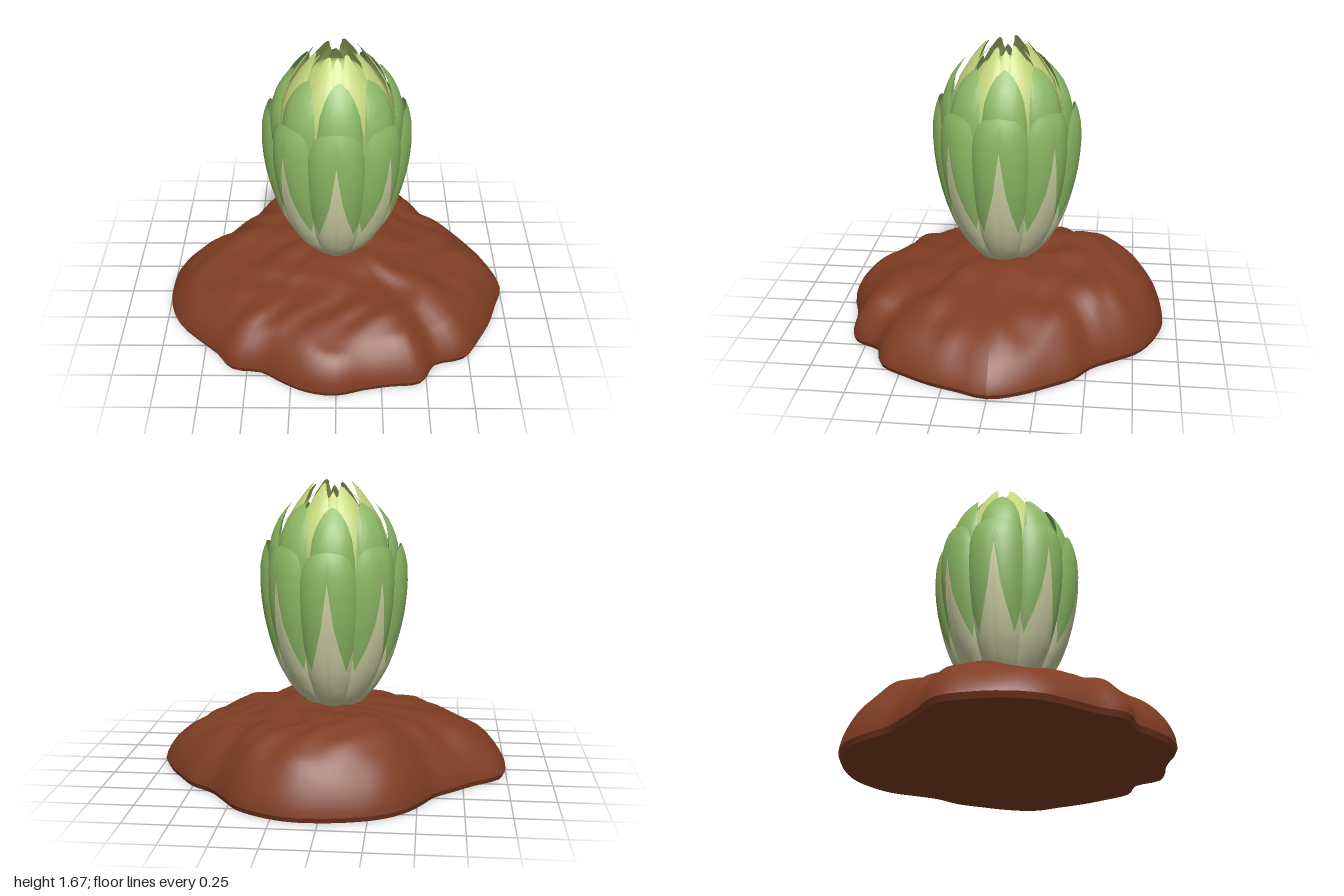
import * as THREE from 'three';

const mat = (name, color, side = THREE.FrontSide) => {
  const m = new THREE.MeshStandardMaterial({ color, side });
  m.name = name;
  return m;
};

// Piecewise linear lookup through [key, value] pairs
function lookup(pts, k) {
  if (k <= pts[0][0]) return pts[0][1];
  for (let i = 1; i < pts.length; i++) {
    const [a, va] = pts[i - 1], [b, vb] = pts[i];
    if (k <= b) return va + (vb - va) * (k - a) / (b - a);
  }
  return pts[pts.length - 1][1];
}

// Smooth lookup in a closed ring of evenly spaced values
function ring(values, angle) {
  const n = values.length;
  const t = ((angle / (Math.PI * 2)) % 1 + 1) % 1 * n;
  const i = Math.floor(t), f = t - i;
  const [a, b, c, d] = [-1, 0, 1, 2].map(o => values[(i + o + n) % n]);
  return b + 0.5 * f * (c - a + f * (2 * a - 5 * b + 4 * c - d + f * (3 * (b - c) + d - a)));
}

// Grid surface from a rule (s, t in 0..1) => [x, y, z]
function surface(rule, ns, nt) {
  const pos = [], idx = [];
  for (let j = 0; j <= nt; j++)
    for (let i = 0; i <= ns; i++) pos.push(...rule(i / ns, j / nt));
  for (let j = 0; j < nt; j++)
    for (let i = 0; i < ns; i++) {
      const a = j * (ns + 1) + i, b = a + ns + 1;
      idx.push(a, a + 1, b + 1, a, b + 1, b);
    }
  const g = new THREE.BufferGeometry();
  g.setAttribute('position', new THREE.Float32BufferAttribute(pos, 3));
  g.setIndex(idx);
  g.computeVertexNormals();
  return g;
}

// Cupped leaf strip between two edges, both given as heights over |u|
function leafPart(name, material, spec, low, high, lift) {
  const geo = surface((s, t) => {
    const u = s * 2 - 1, k = Math.abs(u);
    const y0 = low(k), y = y0 + (high(k) + lift - y0) * t;
    const r = lookup(spec.profile, y - lift * t) * (1 - spec.cup * k ** 2.5) + spec.inset;
    const a = u * spec.half;
    return [r * Math.sin(a), y, r * Math.cos(a)];
  }, 20, 14);
  const mesh = new THREE.Mesh(geo, material);
  mesh.name = name;
  return mesh;
}

// Radius over height for each ring of leaves, and tip height over |u|
const OUTER = {
  profile: [[0.34, 0.12], [0.4, 0.165], [0.45, 0.215], [0.5, 0.255], [0.6, 0.312], [0.7, 0.35], [0.8, 0.378],
    [0.9, 0.4], [1.0, 0.414], [1.1, 0.42], [1.2, 0.416], [1.27, 0.402], [1.34, 0.375]],
  tip: [[0, 1.325], [0.2, 1.32], [0.5, 1.31], [0.7, 1.285], [0.85, 1.23], [1, 1.1]],
  split: [[0, 1.15], [0.1, 1.02], [0.2, 0.9], [0.4, 0.77], [0.7, 0.64], [1, 0.8]],
  half: 0.44, cup: 0.11,
};
const MIDDLE = {
  profile: [[0.9, 0.31], [1.1, 0.36], [1.2, 0.37], [1.3, 0.365], [1.38, 0.345], [1.45, 0.312], [1.5, 0.275], [1.56, 0.22]],
  tip: [[0, 1.55], [0.2, 1.54], [0.5, 1.515], [0.75, 1.46], [0.9, 1.39], [1, 1.27]],
  half: 0.375, cup: 0.08,
};
const INNER = {
  profile: [[1, 0.29], [1.2, 0.325], [1.35, 0.31], [1.45, 0.27], [1.55, 0.205], [1.62, 0.15], [1.67, 0.105]],
  tip: [[0, 1.655], [0.3, 1.645], [0.5, 1.61], [0.7, 1.58], [0.85, 1.5], [1, 1.35]],
  half: 0.36, cup: 0.05,
};
const HEART = {
  profile: [[1, 0.25], [1.3, 0.27], [1.45, 0.225], [1.55, 0.15], [1.63, 0.08]],
  tip: [[0, 1.625], [0.3, 1.605], [0.6, 1.56], [1, 1.42]],
  half: 0.4, cup: 0.04,
};

// Soil outline radius every 10 degrees from +x towards +z
const OUTLINE = [1, 0.965, 0.955, 0.95, 0.955, 0.875, 0.945, 0.9, 0.89, 0.92, 0.91, 0.875,
  0.85, 0.92, 0.9, 0.93, 0.98, 1, 1, 0.985, 0.87, 0.81, 0.78, 0.82,
  0.87, 0.9, 0.91, 0.92, 0.93, 0.92, 0.9, 0.85, 0.83, 0.88, 0.91, 0.96];
// Soil height beside the plant, shoulder height and roundness every 45 degrees
const CREST = [0.42, 0.4, 0.385, 0.39, 0.4, 0.41, 0.41, 0.42];
const SHOULDER = [0.325, 0.32, 0.32, 0.31, 0.33, 0.4, 0.425, 0.37];
const ROUNDNESS = [0.75, 0.65, 0.52, 0.6, 0.8, 0.72, 0.65, 0.7];

function soilPoint(angle, t) {
  const edge = ring(OUTLINE, angle), crest = ring(CREST, angle), shoulder = ring(SHOULDER, angle);
  // finer rows at the steep rim
  const q = 1 - (1 - t) ** 1.5;
  const r = q * edge, x = r * Math.cos(angle), z = r * Math.sin(angle);
  const f = THREE.MathUtils.smoothstep(q, 0.2, 0.6);
  const plateau = crest + (shoulder - crest) * f;
  const fall = Math.max(0, (q - 0.5) / 0.5) ** 2.4;
  const h = 0.03 + (plateau - 0.03) * Math.max(0, 1 - fall) ** ring(ROUNDNESS, angle);
  // soft lumps that fade at the centre and rim
  const fade = Math.min(1, q * 2) * Math.min(1, (1 - q) * 7);
  const lumps = Math.sin(x * 9 + 1.3 * Math.sin(z * 7)) * Math.cos(z * 8 + 0.8) * 0.013
    + Math.sin(x * 17 + 2 * Math.sin(z * 11)) * Math.sin(z * 15 + x * 6) * 0.011
    + Math.sin(angle * 9 + q * 5) * 0.006;
  return [x, h + lumps * fade, z];
}

function createSoil(material) {
  const group = new THREE.Group();
  group.name = 'soilMound';
  const N = 108;
  const top = new THREE.Mesh(surface((s, t) => soilPoint(-s * Math.PI * 2, 1 - t), N, 36), material);
  top.name = 'soilTop';

  // short wall under the rim, slightly tucked in
  const wall = new THREE.Mesh(surface((s, t) => {
    const a = -s * Math.PI * 2, r = ring(OUTLINE, a) * (0.985 + 0.015 * t);
    return [r * Math.cos(a), 0.03 * t, r * Math.sin(a)];
  }, N, 1), material);
  wall.name = 'soilRim';

  // flat underside
  const base = new THREE.Mesh(surface((s, t) => {
    const a = -s * Math.PI * 2, r = ring(OUTLINE, a) * 0.985 * t;
    return [r * Math.cos(a), 0, r * Math.sin(a)];
  }, N, 1), material);
  base.name = 'soilUnderside';
  group.add(top, wall, base);
  return group;
}

export function createModel() {
  const model = new THREE.Group();
  model.name = 'sproutInSoil';
  const brown = mat('soilBrown', 0x803d24);
  const green = mat('leafGreen', 0x8db965, THREE.DoubleSide);
  const cream = mat('stalkCream', 0xd3d6a8, THREE.DoubleSide);
  const lime = mat('heartLime', 0xc4d57c, THREE.DoubleSide);

  model.add(createSoil(brown));

  // A ring of leaves, with a slightly different height for each one
  const addRing = (name, count, offset, spec, build) => {
    for (let i = 0; i < count; i++) {
      const leaf = new THREE.Group();
      leaf.name = name + (i + 1);
      const s = { ...spec, inset: i % 2 ? -0.008 : 0 };
      leaf.add(...build(s, 0.012 * Math.sin(i * 2.4 + count)));
      leaf.rotation.y = offset + i * Math.PI * 2 / count;
      model.add(leaf);
    }
  };
  const tipOf = spec => k => lookup(spec.tip, k);
  const split = k => lookup(OUTER.split, k);

  addRing('outerLeaf', 8, 0, OUTER, (s, lift) => [
    leafPart('stalk', cream, s, () => 0.34, split, 0),
    leafPart('blade', green, s, split, tipOf(s), lift),
  ]);
  addRing('middleLeaf', 8, 0.06, MIDDLE, (s, lift) => [
    leafPart('blade', green, s, () => 0.9, tipOf(s), lift),
  ]);
  addRing('innerLeaf', 8, Math.PI / 8 + 0.04, INNER, (s, lift) => [
    leafPart('blade', lime, s, () => 1, tipOf(s), lift),
  ]);
  addRing('heartLeaf', 8, 0.05, HEART, (s, lift) => [
    leafPart('blade', lime, s, () => 1, tipOf(s), lift),
  ]);

  // Closed heart between the innermost leaves
  const heart = new THREE.Mesh(new THREE.LatheGeometry(
    [[0.2, 1], [0.245, 1.3], [0.205, 1.43], [0.13, 1.53], [0.001, 1.58]].map(p => new THREE.Vector2(...p)), 24), lime);
  heart.name = 'heart';
  model.add(heart);

  return model;
}
